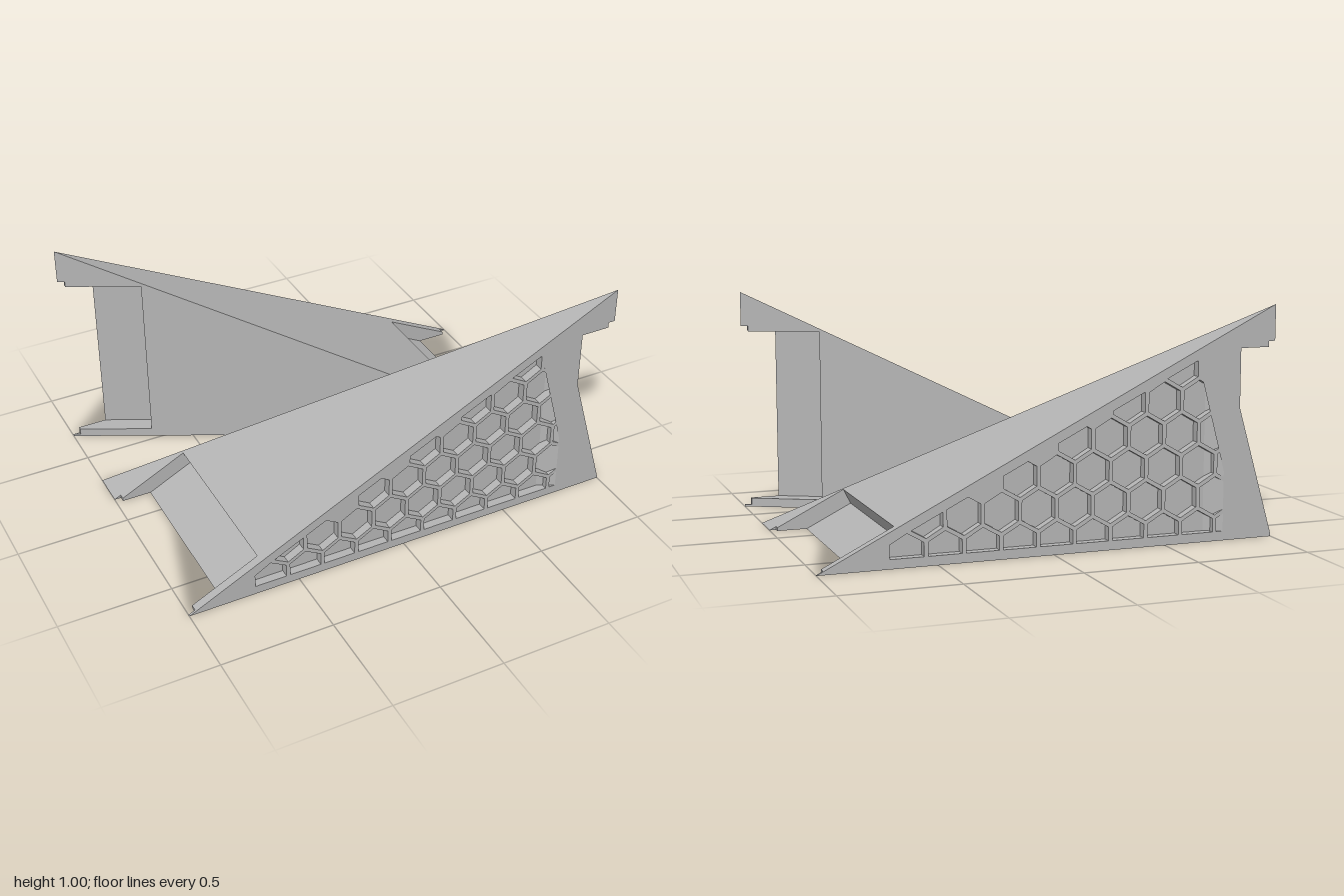
import * as THREE from 'three';

const V2 = (x, y) => new THREE.Vector2(x, y);

// Collects flat polygons into one facet-shaded geometry
class Facets {
  constructor() { this.pos = []; }
  // outline and holes are 2D; map lifts a point to 3D; out is the outward direction
  add(outline, holes, map, out) {
    const contour = outline.map(([x, y]) => V2(x, y));
    if (THREE.ShapeUtils.isClockWise(contour)) contour.reverse();
    const rings = holes.map((h) => {
      const r = h.map(([x, y]) => V2(x, y));
      if (!THREE.ShapeUtils.isClockWise(r)) r.reverse();
      return r;
    });
    const all = [contour, ...rings].flat().map((p) => map(p.x, p.y));
    for (const [a, b, c] of THREE.ShapeUtils.triangulateShape(contour, rings)) this.tri(all[a], all[b], all[c], out);
  }
  tri(a, b, c, out) {
    const n = b.clone().sub(a).cross(c.clone().sub(a));
    const order = n.dot(out) < 0 ? [a, c, b] : [a, b, c];
    for (const p of order) this.pos.push(p.x, p.y, p.z);
  }
  quad(a, b, c, d, out) { this.tri(a, b, c, out); this.tri(a, c, d, out); }
  geometry() {
    const g = new THREE.BufferGeometry();
    g.setAttribute('position', new THREE.Float32BufferAttribute(this.pos, 3));
    g.computeVertexNormals();
    return g;
  }
}

const P = (x, y, z) => new THREE.Vector3(x, y, z);

// Keep the part of a convex polygon where a*x + b*y <= c
function clip(poly, a, b, c) {
  const res = [];
  poly.forEach((p, i) => {
    const q = poly[(i + 1) % poly.length];
    const dp = a * p[0] + b * p[1] - c, dq = a * q[0] + b * q[1] - c;
    if (dp <= 0) res.push(p);
    if (dp * dq < 0) {
      const t = dp / (dp - dq);
      res.push([p[0] + (q[0] - p[0]) * t, p[1] + (q[1] - p[1]) * t]);
    }
  });
  return res;
}

const area = (poly) => Math.abs(THREE.ShapeUtils.area(poly.map(([x, y]) => V2(x, y))));

// Honeycomb cells, trimmed to a margin inside the triangular face
const CELL_END = 0.77, DEPTH = 0.038;
function honeycomb() {
  const cells = [], pitch = 0.16, r = 0.0825;
  for (let row = 0; row < 6; row++) {
    const cy = 0.057 + row * pitch * 0.866;
    for (let k = -1; k < 11; k++) {
      const cx = 0.65 - pitch * k - (row % 2) * pitch / 2;
      let hex = [];
      for (let i = 0; i < 6; i++) {
        const t = Math.PI / 6 + i * Math.PI / 3;
        hex.push([cx + r * Math.cos(t), cy + r * Math.sin(t)]);
      }
      hex = clip(hex, 0, -1, -0.04);
      hex = clip(hex, -0.5, 1, 0.455);
      if (hex.length < 3 || area(hex) < 0.0048) continue;
      hex = clip(hex, 1, 0, CELL_END);
      if (hex.length >= 3 && area(hex) > 0.0003) cells.push(hex);
    }
  }
  return cells;
}

// Notch measurements: side walls, stepped end, undercut wall and floor
const W0 = 0.04, W1 = 0.82, S0 = 0.01, S1 = 0.845, STEP = 0.97;
const TOP_X = 0.672, IN_X = 0.64, IN_Y = 0.1, OUT_X = 0.84;
const slope = (x) => (1 - x) / 2;

// Triangle with the end notch cut back to x = n
const notched = (n) => [[-1, 0], [1, 0], [1, S0], [STEP, S0], [STEP, W0], [n, W0],
  [n, W1], [STEP, W1], [STEP, S1], [1, S1], [1, 1]];

function shellGeometry(cells) {
  const f = new Facets();
  // Sloped face and flat base
  f.add(notched(TOP_X), [], (x, w) => P(x, slope(x), w), P(1, 2, 0));
  f.add(notched(OUT_X), cells, (x, w) => P(x, 0, w), P(0, -1, 0));
  // Notch sides and stepped ends
  const side = [[TOP_X, slope(TOP_X)], [IN_X, IN_Y], [OUT_X, 0], [STEP, 0], [STEP, slope(STEP)]];
  const tip = [[STEP, 0], [1, 0], [STEP, slope(STEP)]];
  for (const [w, s, d] of [[W0, S0, 1], [W1, S1, -1]]) {
    f.add(side, [], (x, y) => P(x, y, w), P(0, 0, d));
    f.add(tip, [], (x, y) => P(x, y, s), P(0, 0, d));
    f.quad(P(STEP, 0, w), P(STEP, 0, s), P(STEP, slope(STEP), s), P(STEP, slope(STEP), w), P(1, 0, 0));
  }
  // Undercut wall and recessed floor
  const strip = (x0, y0, x1, y1, out) =>
    f.quad(P(x0, y0, W0), P(x1, y1, W0), P(x1, y1, W1), P(x0, y0, W1), out);
  strip(TOP_X, slope(TOP_X), IN_X, IN_Y, P(2, -1, 0));
  strip(IN_X, IN_Y, OUT_X, 0, P(1, 2, 0));
  return f.geometry();
}

// Pocket floors ramp up to the surface next to the notch
function pocketGeometry(cells) {
  const f = new Facets(), ramp = CELL_END - 2 * DEPTH;
  const deep = (x) => Math.max(0, Math.min(DEPTH, (CELL_END - x) / 2));
  for (const cell of cells) {
    for (const part of [clip(cell, 1, 0, ramp), clip(cell, -1, 0, -ramp)]) {
      if (part.length < 3 || area(part) < 1e-6) continue;
      f.add(part, [], (x, w) => P(x, deep(x), w), P(0, -1, 0));
      const mx = part.reduce((s, p) => s + p[0], 0) / part.length;
      const mw = part.reduce((s, p) => s + p[1], 0) / part.length;
      part.forEach((p, i) => {
        const q = part[(i + 1) % part.length];
        const onLine = (x) => Math.abs(p[0] - x) < 1e-6 && Math.abs(q[0] - x) < 1e-6;
        if (onLine(ramp) || onLine(CELL_END)) return;
        const inward = P(mx - (p[0] + q[0]) / 2, 0, mw - (p[1] + q[1]) / 2);
        f.quad(P(p[0], 0, p[1]), P(q[0], 0, q[1]), P(q[0], deep(q[0]), q[1]), P(p[0], deep(p[0]), p[1]), inward);
      });
    }
  }
  return f.geometry();
}

export function createModel() {
  const grey = new THREE.MeshStandardMaterial({ color: 0xb4b4b4 });
  grey.name = 'grey';
  const cells = honeycomb();
  const shell = shellGeometry(cells), pockets = pocketGeometry(cells);

  const model = new THREE.Group();
  model.name = 'cornerWedges';
  for (const [name, turn] of [['backWedge', 0], ['frontWedge', Math.PI]]) {
    const wedge = new THREE.Group();
    wedge.name = name;
    // Each wedge is two equal halves, the second a half turn about its diagonal
    for (const half of ['base', 'upright']) {
      const g = new THREE.Group();
      g.name = half + 'Half';
      const a = new THREE.Mesh(shell, grey);
      a.name = half + 'Shell';
      const b = new THREE.Mesh(pockets, grey);
      b.name = half + 'HoneycombPockets';
      g.add(a, b);
      if (half === 'upright') g.quaternion.setFromAxisAngle(P(0, 1, 1).normalize(), Math.PI);
      g.position.z = -0.6875;
      wedge.add(g);
    }
    wedge.rotation.y = turn;
    model.add(wedge);
  }
  return model;
}
